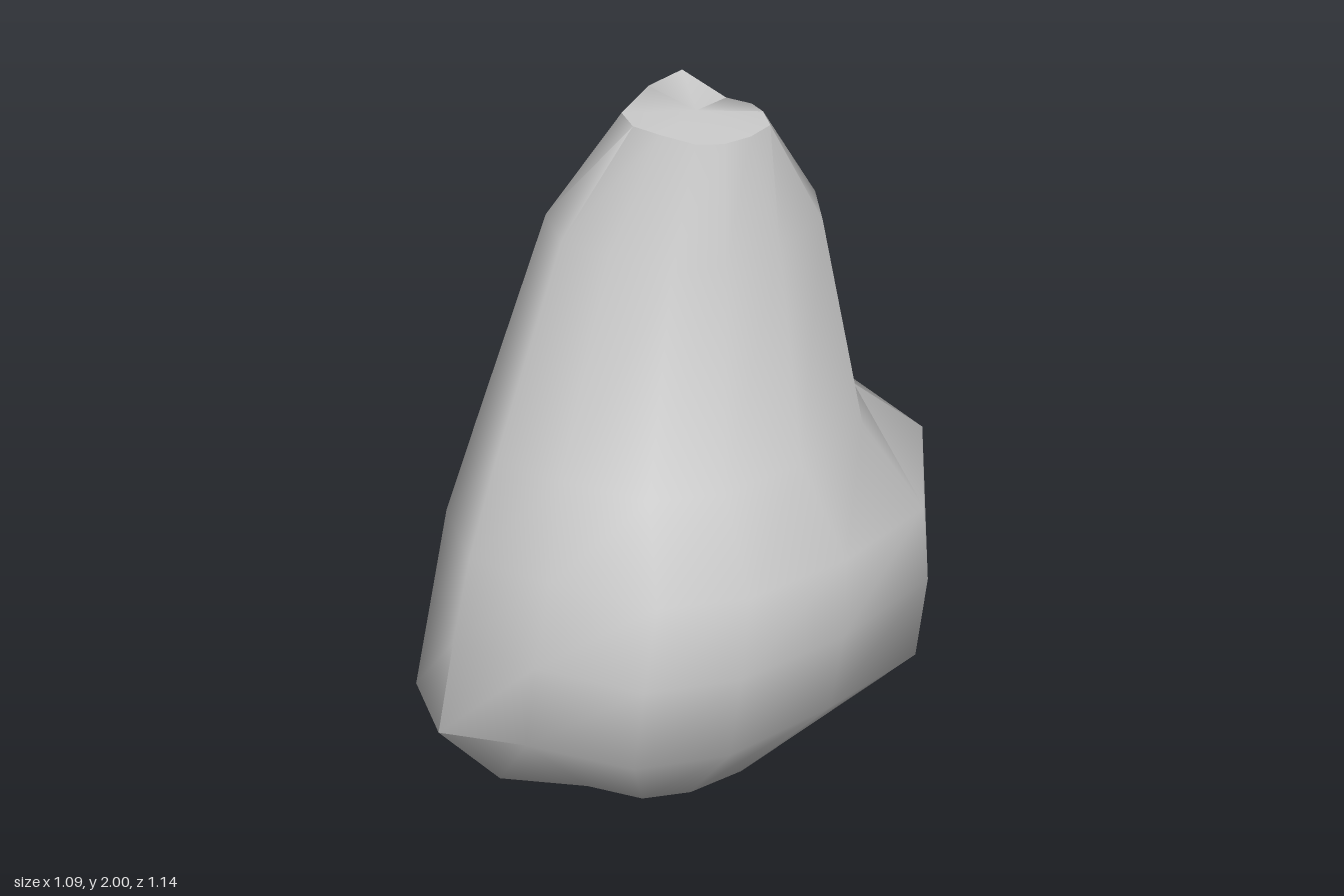
import * as THREE from 'three';
import { toCreasedNormals } from 'three/addons/utils/BufferGeometryUtils.js';

// Plan outline of the boulder (x, z), counter-clockwise seen from above, from the front-left corner
const outline = [
  [-0.34, 0.57], [-0.1, 0.56], [0.2, 0.51], [0.38, 0.33], [0.5, 0.03], [0.545, -0.3],
  [0.4, -0.5], [0.27, -0.57], [0.06, -0.52], [-0.39, -0.45], [-0.53, -0.25], [-0.51, 0.4],
];

// Levels: the outline is fitted into each box; "moved" holds single displaced corners [x, y, z]
const levels = [
  { y: 0.13, x: [-0.3, 0.22], z: [-0.27, 0.28],
    moved: { 0: [-0.26, 0.17, 0.41], 8: [0, 0.05, -0.18], 11: [-0.37, 0.18, 0.28] } },
  { y: 0.41, x: [-0.51, 0.51], z: [-0.56, 0.565],
    moved: { 0: [-0.34, 0.37, 0.57], 4: [0.465, 0.42, 0.03], 10: [-0.545, 0.35, -0.18], 11: [-0.51, 0.36, 0.4] } },
  { y: 0.64, x: [-0.5, 0.54], z: [-0.57, 0.555], moved: {} },
  { y: 0.87, x: [-0.48, 0.545], z: [-0.52, 0.505],
    moved: { 6: [0.42, 0.95, -0.48], 7: [0.28, 0.95, -0.525], 8: [0.06, 0.94, -0.48] } },
  { y: 1.1, x: [-0.44, 0.4], z: [-0.415, 0.39], moved: {} },
  { y: 1.65, x: [-0.34, 0.27], z: [-0.38, 0.175], moved: {} },
  { y: 1.97, x: [-0.16, 0.19], z: [-0.19, 0.05], moved: { 9: [-0.1, 2, -0.19] } },
];

function ringAt({ y, x, z, moved }) {
  const fit = (v, [lo, hi], half) => (lo + hi) / 2 + (v / half) * (hi - lo) / 2;
  return outline.map(([px, pz], i) => moved[i] ?? [fit(px, x, 0.54), y, fit(pz, z, 0.57)]);
}

function boulderGeometry() {
  const rings = levels.map(ringAt);
  const n = outline.length;
  const positions = rings.flat(2);
  const index = [];

  // Sides
  for (let r = 0; r < rings.length - 1; r++) {
    for (let i = 0; i < n; i++) {
      const a = r * n + i, b = r * n + (i + 1) % n;
      index.push(a, b, b + n, a, b + n, a + n);
    }
  }
  // Pointed underside and top cap
  const bottom = rings.length * n, top = bottom + 1, last = (rings.length - 1) * n;
  positions.push(0, 0, 0.03, 0.01, 1.98, -0.08);
  for (let i = 0; i < n; i++) {
    const j = (i + 1) % n;
    index.push(bottom, j, i, top, last + i, last + j);
  }

  const geometry = new THREE.BufferGeometry();
  geometry.setAttribute('position', new THREE.Float32BufferAttribute(positions, 3));
  geometry.setIndex(index);
  return toCreasedNormals(geometry, 1.0);
}

export function createModel() {
  const group = new THREE.Group();
  group.name = 'rock';
  const boulder = new THREE.Mesh(boulderGeometry(), new THREE.MeshStandardMaterial({ color: 0xcccccc }));
  boulder.name = 'boulder';
  group.add(boulder);
  return group;
}
